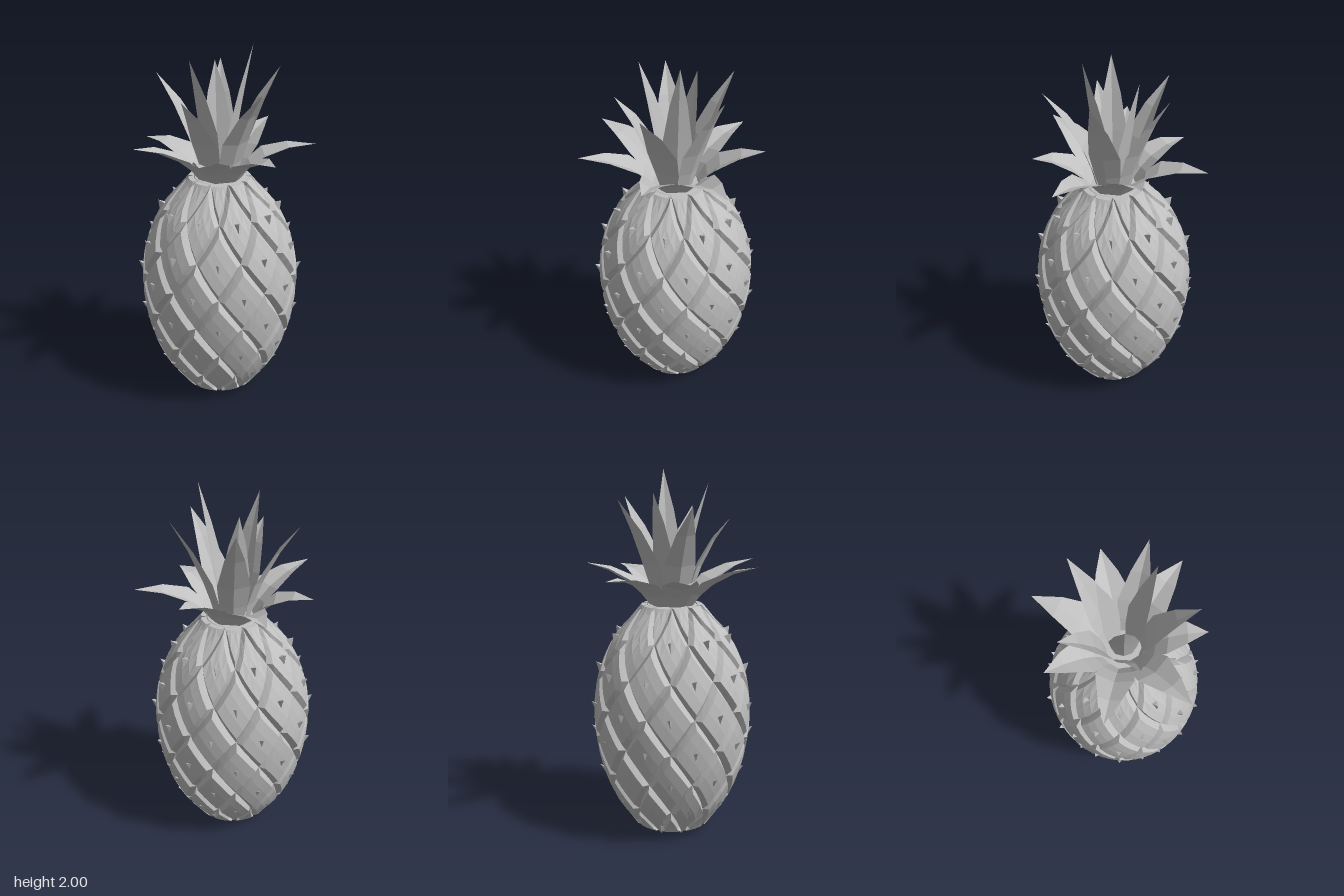
import * as THREE from 'three';

const ROW = 0.186;             // vertical distance between scale rows
const STEP = Math.PI / 10;     // half the angle between neighbouring scales
const BOTTOM = 0.035, TOP = 1.285;

// Outer radius of the fruit at each scale row, bottom to top
const radii = [0.205, 0.322, 0.395, 0.43, 0.435, 0.4, 0.312, 0.16];
const profile = new THREE.SplineCurve(radii.map((r, i) => new THREE.Vector2(i * ROW, r)));
const radiusAt = y => profile.getPoint(THREE.MathUtils.clamp(y / (7 * ROW), 0, 1)).y;

const onFruit = (angle, y, lift = 0) => {
  const r = radiusAt(y) + lift;
  return [Math.sin(angle) * r, y, Math.cos(angle) * r];
};

// Facets from a grid of points; flat gives each face its own normal
function gridGeometry(points, flat = true) {
  const pos = [], index = [], cols = points[0].length;
  points.forEach(row => row.forEach(p => pos.push(...p)));
  for (let i = 0; i < points.length - 1; i++) {
    for (let j = 0; j < cols - 1; j++) {
      const a = i * cols + j, b = a + cols;
      index.push(a, b, b + 1, a, b + 1, a + 1);
    }
  }
  let g = new THREE.BufferGeometry();
  g.setAttribute('position', new THREE.Float32BufferAttribute(pos, 3));
  g.setIndex(index);
  if (flat) g = g.toNonIndexed();
  g.computeVertexNormals();
  return g;
}

// Diamond scale: curved raised plate with a bevel falling into the groove
function scaleGeometry(angle, yc) {
  const k = 0.78, depth = 0.03;
  const lines = [-k, -k, -k / 3, k / 3, k, k], last = lines.length - 1;
  const points = lines.map((u, i) => lines.map((v, j) => {
    const rim = i === 0 || j === 0 || i === last || j === last;
    const s = rim ? 1 / k : 1;
    let y = yc + (u + v) * s * ROW / 2;
    if (yc < 0.1) y = Math.max(y, BOTTOM);
    y = Math.min(y, TOP);
    return onFruit(angle + (u - v) * s * STEP / 2, y, rim ? -depth : 0);
  }));
  return gridGeometry(points);
}

// Small upturned thorn in the middle of a scale
function thornGeometry(angle, y) {
  const da = 0.016 / radiusAt(y);
  const left = onFruit(angle - da, y + 0.012, -0.004);
  const right = onFruit(angle + da, y + 0.012, -0.004);
  const low = onFruit(angle, y - 0.034, -0.004);
  const tip = onFruit(angle, y + 0.028, 0);
  const r = radiusAt(y) + 0.024;
  tip[0] = Math.sin(angle) * r;
  tip[2] = Math.cos(angle) * r;
  const g = new THREE.BufferGeometry();
  g.setAttribute('position', new THREE.Float32BufferAttribute(
    [...low, ...right, ...tip, ...low, ...tip, ...left, ...left, ...tip, ...right], 3));
  g.computeVertexNormals();
  return g;
}

// Pointed leaf along +x: a bent midrib with raised edges
function leafGeometry(base, bend, tip, halfWidth) {
  const rib = new THREE.QuadraticBezierCurve(
    new THREE.Vector2(...base), new THREE.Vector2(...bend), new THREE.Vector2(...tip));
  const stations = [[0, 0.55], [0.2, 0.85], [0.42, 1], [0.72, 0.6], [1, 0]];
  const points = stations.map(([t, f]) => {
    const p = rib.getPoint(t), d = rib.getTangent(t), w = halfWidth * f;
    return [-1, 0, 1].map(s => {
      const raise = Math.abs(s) * w * 0.3;
      return [p.x - d.y * raise, p.y + d.x * raise, s * w];
    });
  });
  return gridGeometry(points);
}

export function createModel() {
  const model = new THREE.Group();
  model.name = 'pineapple';
  const grey = new THREE.MeshStandardMaterial({ color: 0xc0c0c0 });
  grey.name = 'grey';
  const leafGrey = grey.clone();
  leafGrey.name = 'grey leaf';
  leafGrey.side = THREE.DoubleSide;

  const add = (parent, name, geometry, material = grey) => {
    const mesh = new THREE.Mesh(geometry, material);
    mesh.name = name;
    parent.add(mesh);
    return mesh;
  };

  // Core behind the grooves, closed at both ends
  const outline = [new THREE.Vector2(0, BOTTOM)];
  for (let i = 0; i <= 12; i++) {
    const y = BOTTOM + (TOP - BOTTOM) * i / 12;
    outline.push(new THREE.Vector2(radiusAt(y) - 0.034, y));
  }
  outline.push(new THREE.Vector2(0, TOP));
  const core = new THREE.LatheGeometry(outline, 20).toNonIndexed();
  core.computeVertexNormals();
  add(model, 'core', core);

  // Staggered rows of scales; the cut rows at the ends carry no thorns
  const scales = new THREE.Group(), thorns = new THREE.Group();
  scales.name = 'scales';
  thorns.name = 'thorns';
  model.add(scales, thorns);
  for (let row = 0; row < radii.length; row++) {
    for (let n = 0; n < 10; n++) {
      const angle = (2 * n + row % 2) * STEP, y = row * ROW;
      add(scales, 'scale', scaleGeometry(angle, y));
      if (row > 0 && row < 7) add(thorns, 'thorn', thornGeometry(angle, y));
    }
  }

  // Crown: three rings of leaves, angles measured from +x towards +z
  const crown = new THREE.Group();
  crown.name = 'crown';
  model.add(crown);
  const ring = (name, count, start, make) => {
    for (let i = 0; i < count; i++) {
      const leaf = add(crown, name, make(i), leafGrey);
      leaf.rotation.y = -THREE.MathUtils.degToRad(start + i * 360 / count);
    }
  };
  const outerTips = [[0.465, 1.51], [0.51, 1.46], [0.425, 1.45], [0.505, 1.51],
    [0.49, 1.51], [0.44, 1.45], [0.51, 1.46]];
  const middleTips = [[0.33, 1.855], [0.355, 1.8], [0.31, 1.75], [0.35, 1.82], [0.335, 1.85]];
  const innerTips = [[0.177, 2], [0.195, 1.93], [0.14, 1.88]];
  ring('outerLeaf', 7, 0, i => leafGeometry([0.12, 1.28], [0.23, 1.45], outerTips[i], 0.098));
  ring('middleLeaf', 5, 36, i => leafGeometry([0.09, 1.27], [0.15, 1.55], middleTips[i], 0.085));
  ring('innerLeaf', 3, 73, i => leafGeometry([0.05, 1.27], [0.1, 1.6], innerTips[i], 0.075));

  return model;
}
